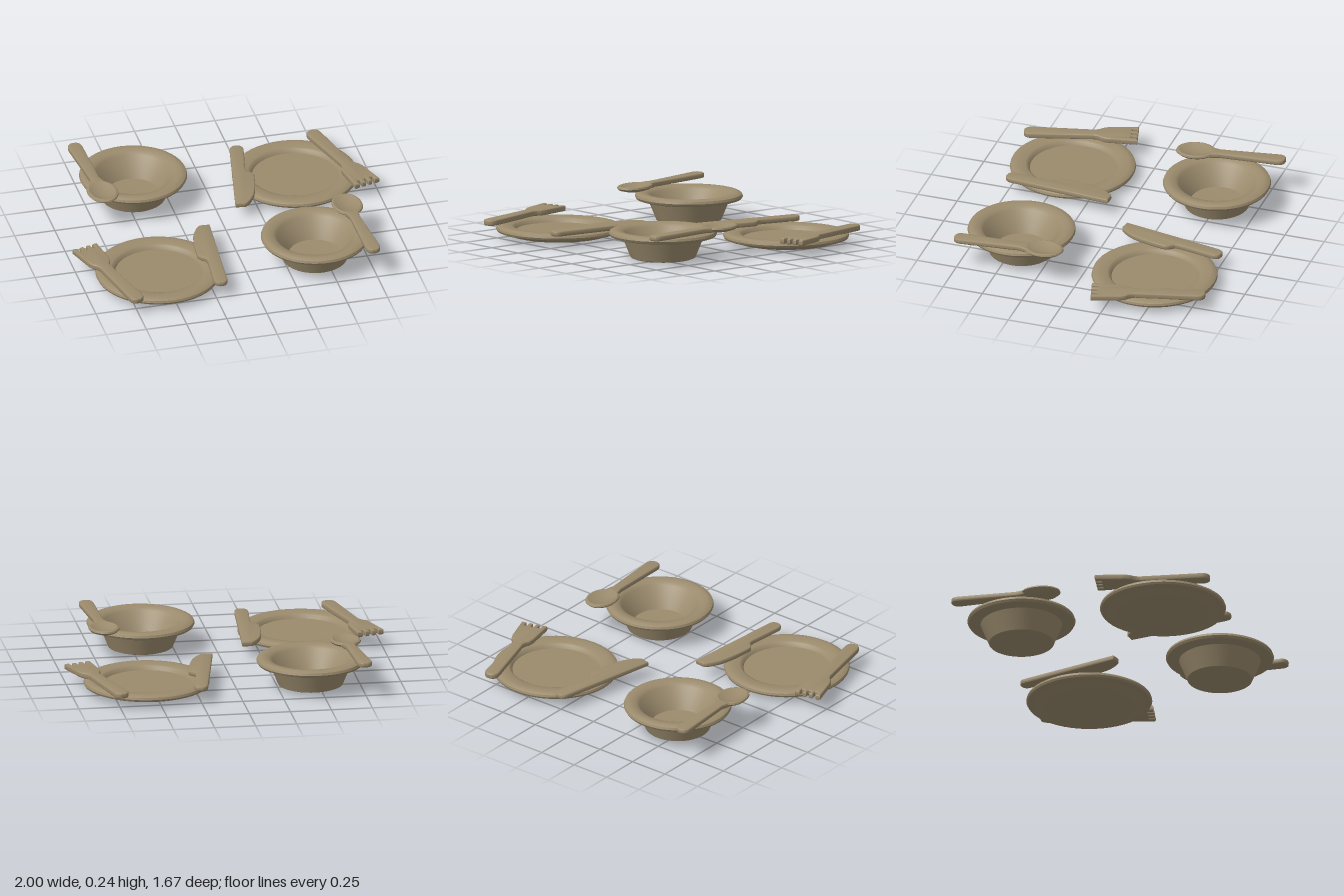
import * as THREE from 'three';
import { toCreasedNormals } from 'three/addons/utils/BufferGeometryUtils.js';

const clay = new THREE.MeshStandardMaterial({ color: 0x9b8b6d });
clay.name = 'khaki clay';

function mesh(name, geometry, crease = 0.7) {
  const m = new THREE.Mesh(toCreasedNormals(geometry, crease), clay);
  m.name = name;
  return m;
}

// Turned part from [radius, height] pairs, running from the underside to the inside
function turned(name, profile, segments = 48) {
  return mesh(name, new THREE.LatheGeometry(profile.map(([r, y]) => new THREE.Vector2(r, y)), segments));
}

// Flat outline with softened edges, lying on y = 0 and pointing towards -z
function slab(name, shape, height, bevel = 0.009) {
  const g = new THREE.ExtrudeGeometry(shape, {
    depth: height - 2 * bevel, bevelThickness: bevel, bevelSize: bevel,
    bevelOffset: -bevel, bevelSegments: 3, curveSegments: 10,
  });
  g.translate(0, 0, bevel);
  g.rotateX(-Math.PI / 2);
  return mesh(name, g);
}

const makePlate = () => turned('plate', [
  [0, 0.012], [0.27, 0.012], [0.295, 0.018], [0.315, 0.034], [0.355, 0.036], [0.374, 0.043],
  [0.38, 0.055], [0.376, 0.068], [0.362, 0.077], [0.34, 0.08], [0.285, 0.074], [0.272, 0.068],
  [0.26, 0.046], [0, 0.046],
]);

const makeBowl = () => turned('bowl', [
  [0, 0], [0.175, 0], [0.196, 0.008], [0.246, 0.13], [0.3, 0.132], [0.318, 0.138], [0.326, 0.152],
  [0.321, 0.166], [0.305, 0.175], [0.285, 0.177], [0.25, 0.17], [0.23, 0.155], [0.158, 0.03], [0, 0.024],
]);

// Rounded handle end at v = 0, leading from the left neck to the right neck
function handleStart(shape, w) {
  shape.quadraticCurveTo(-w, 0, 0, 0);
  shape.quadraticCurveTo(w, 0, w, 0.05);
}

function makeFork() {
  const s = new THREE.Shape();
  s.moveTo(-0.044, 0.05);
  handleStart(s, 0.044);
  s.lineTo(0.034, 0.42);
  s.quadraticCurveTo(0.036, 0.45, 0.058, 0.475);
  s.quadraticCurveTo(0.07, 0.5, 0.072, 0.54);
  s.lineTo(0.083, 0.69);
  // three notches leave four short tines
  for (const u of [0.043, 0, -0.043]) {
    s.lineTo(u + 0.01, 0.69);
    s.lineTo(u + 0.009, 0.652);
    s.lineTo(u - 0.009, 0.652);
    s.lineTo(u - 0.01, 0.69);
  }
  s.lineTo(-0.083, 0.69);
  s.lineTo(-0.072, 0.54);
  s.quadraticCurveTo(-0.07, 0.5, -0.058, 0.475);
  s.quadraticCurveTo(-0.036, 0.45, -0.034, 0.42);
  s.closePath();
  return slab('fork', s, 0.035, 0.008);
}

function makeKnife() {
  const s = new THREE.Shape();
  s.moveTo(-0.042, 0.05);
  handleStart(s, 0.042);
  s.lineTo(0.042, 0.68);
  s.lineTo(-0.015, 0.68);
  s.quadraticCurveTo(-0.045, 0.67, -0.075, 0.58);
  s.quadraticCurveTo(-0.095, 0.48, -0.09, 0.34);
  s.quadraticCurveTo(-0.08, 0.32, -0.05, 0.3);
  s.quadraticCurveTo(-0.038, 0.28, -0.04, 0.24);
  s.closePath();
  return slab('knife', s, 0.032);
}

function makeSpoon() {
  const g = new THREE.Group();
  g.name = 'spoon';
  const s = new THREE.Shape();
  s.moveTo(-0.044, 0.05);
  handleStart(s, 0.044);
  s.lineTo(0.03, 0.41);
  s.lineTo(0.045, 0.465);
  s.lineTo(-0.045, 0.465);
  s.lineTo(-0.03, 0.41);
  s.closePath();
  g.add(slab('spoonHandle', s, 0.032));
  // shallow oval dish
  const dish = turned('spoonDish', [
    [0, -0.008], [0.05, -0.005], [0.082, 0.006], [0.093, 0.018], [0.09, 0.027], [0.08, 0.031],
    [0.065, 0.025], [0.04, 0.016], [0, 0.012],
  ], 32);
  dish.scale.z = 1.3;
  dish.position.z = -0.56;
  g.add(dish);
  return g;
}

export function createModel() {
  const model = new THREE.Group();
  model.name = 'tableware';

  // [part, x, y, z, turn, tilt]
  const layout = [
    [makePlate, -0.535, 0, 0.445, 0, 0],
    [makePlate, 0.54, 0, -0.44, 0, 0],
    [makeBowl, 0.44, 0, 0.44, 0, 0],
    [makeBowl, -0.45, 0.01, -0.5, 0, 0],
    [makeFork, -0.75, 0.082, 0.83, 0.25, 0.006],
    [makeFork, 0.737, 0.076, -0.83, Math.PI + 0.27, 0],
    [makeKnife, -0.22, 0.08, 0.76, -0.08, 0],
    [makeKnife, 0.26, 0.078, -0.77, Math.PI - 0.195, 0],
    [makeSpoon, 0.73, 0.175, 0.77, 0.055, 0.008],
    [makeSpoon, -0.738, 0.204, -0.84, Math.PI + 0.075, -0.027],
  ];
  for (const [make, x, y, z, turn, tilt] of layout) {
    const part = make();
    part.position.set(x, y, z);
    part.rotation.set(tilt, turn, 0, 'YXZ');
    model.add(part);
  }
  return model;
}
